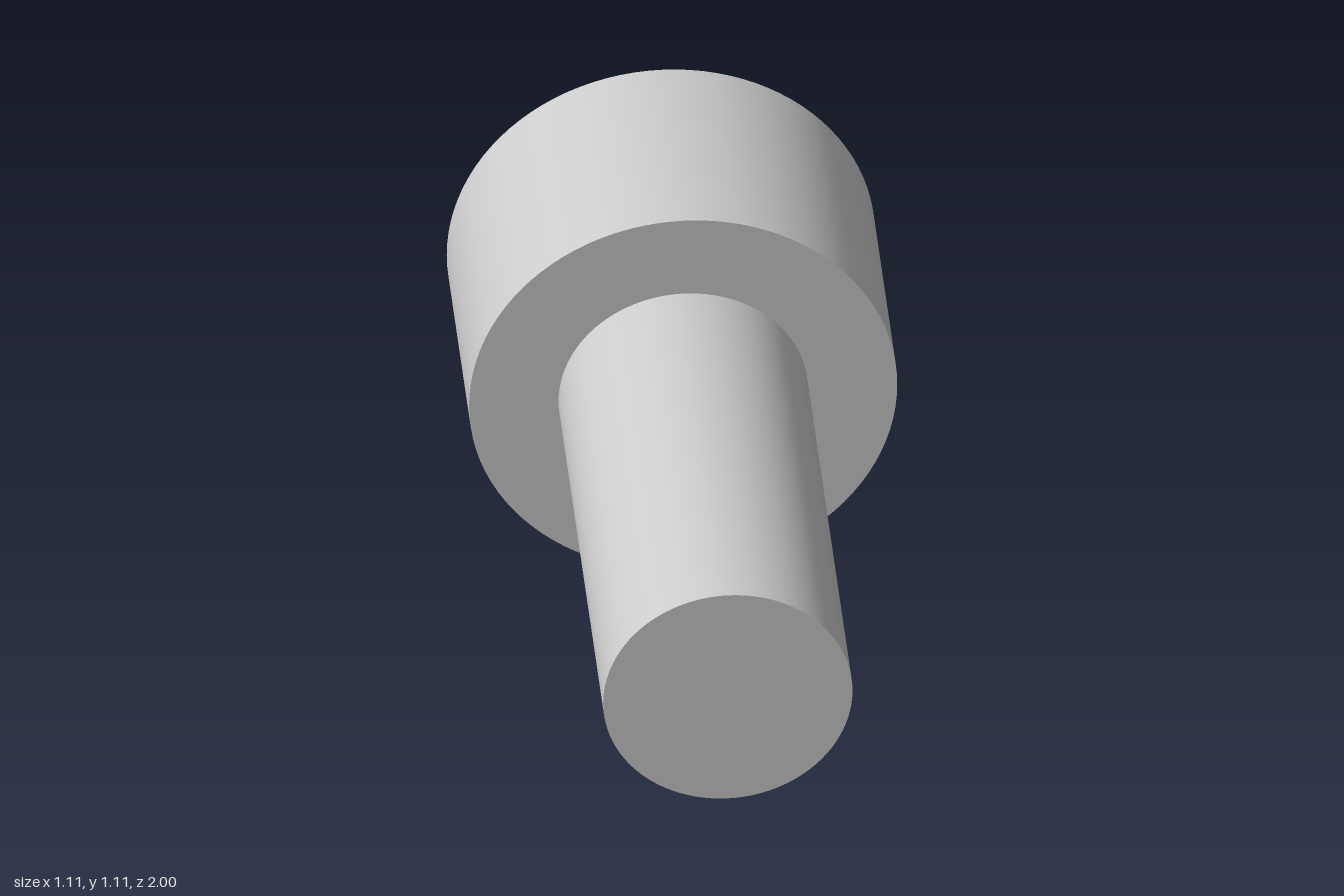
import * as THREE from 'three';

const HEAD_RADIUS = 0.553;
const SHAFT_RADIUS = 0.322;
const BACK = -1, SHOULDER = -0.333, FRONT = 1;

const material = new THREE.MeshStandardMaterial({ color: 0xcccccc });

// Solid cylinder lying along z between two depths
function rod(name, radius, z0, z1) {
  const geometry = new THREE.CylinderGeometry(radius, radius, z1 - z0, 96);
  geometry.rotateX(Math.PI / 2);
  const mesh = new THREE.Mesh(geometry, material);
  mesh.name = name;
  mesh.position.set(0, HEAD_RADIUS, (z0 + z1) / 2);
  return mesh;
}

export function createModel() {
  const group = new THREE.Group();
  group.name = 'steppedPin';
  // Wide head at the back, narrow shaft pointing forward
  group.add(rod('head', HEAD_RADIUS, BACK, SHOULDER));
  group.add(rod('shaft', SHAFT_RADIUS, SHOULDER, FRONT));
  return group;
}
